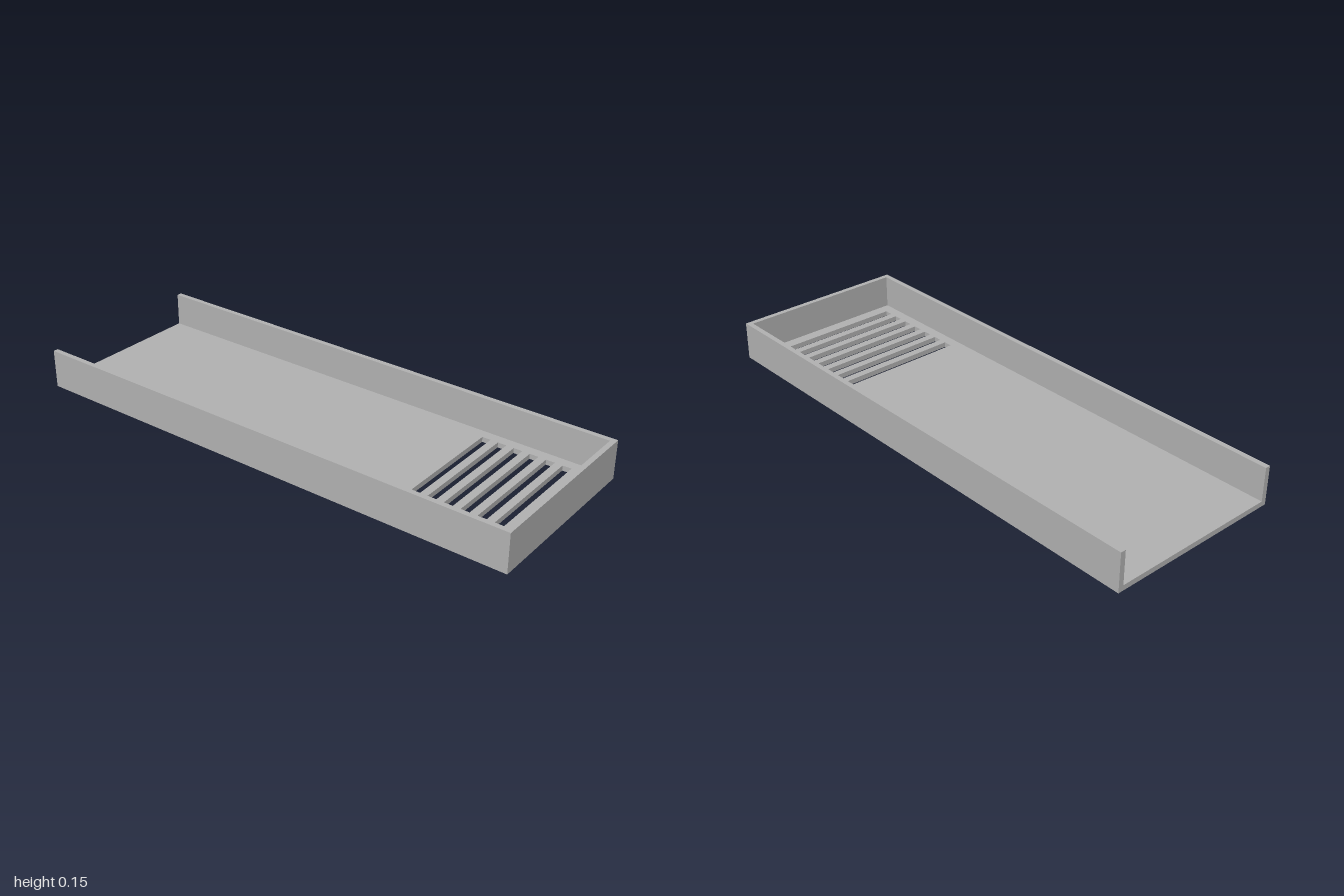
import * as THREE from 'three';

const WIDTH = 0.7, LENGTH = 2, HEIGHT = 0.15, WALL = 0.02;

// Closed path from [x, z] corners; z is flipped so the extrusion can be laid flat
const trace = (path, points) => {
  points.forEach(([x, z], i) => (i ? path.lineTo(x, -z) : path.moveTo(x, -z)));
  path.closePath();
  return path;
};

const rect = (path, x0, z0, x1, z1) => trace(path, [[x0, z1], [x1, z1], [x1, z0], [x0, z0]]);

// Extrude a plan outline upwards from height y
function slab(name, shape, y, height, material) {
  const geometry = new THREE.ExtrudeGeometry(shape, { depth: height, bevelEnabled: false });
  geometry.rotateX(-Math.PI / 2).translate(0, y, 0);
  const mesh = new THREE.Mesh(geometry, material);
  mesh.name = name;
  return mesh;
}

export function createModel() {
  const group = new THREE.Group();
  group.name = 'slottedTray';
  const grey = new THREE.MeshStandardMaterial({ color: 0xb2b2b2 });
  grey.name = 'grey';

  const hw = WIDTH / 2, hl = LENGTH / 2;
  const iw = hw - WALL, il = hl - WALL;

  // Floor with a row of drain slots near the front
  const floor = rect(new THREE.Shape(), -hw, -hl, hw, hl);
  for (let i = 0; i < 7; i++) {
    const z = 0.535 + i * 0.064;
    floor.holes.push(rect(new THREE.Path(), -0.29, z - 0.017, 0.29, z + 0.017));
  }
  group.add(slab('floor', floor, 0, WALL, grey));

  // Left, front and right walls as one U-shaped rim, open at the back
  const rim = trace(new THREE.Shape(), [
    [-hw, -hl], [-hw, hl], [hw, hl], [hw, -hl],
    [iw, -hl], [iw, il], [-iw, il], [-iw, -hl],
  ]);
  group.add(slab('walls', rim, WALL, HEIGHT - WALL, grey));

  return group;
}
